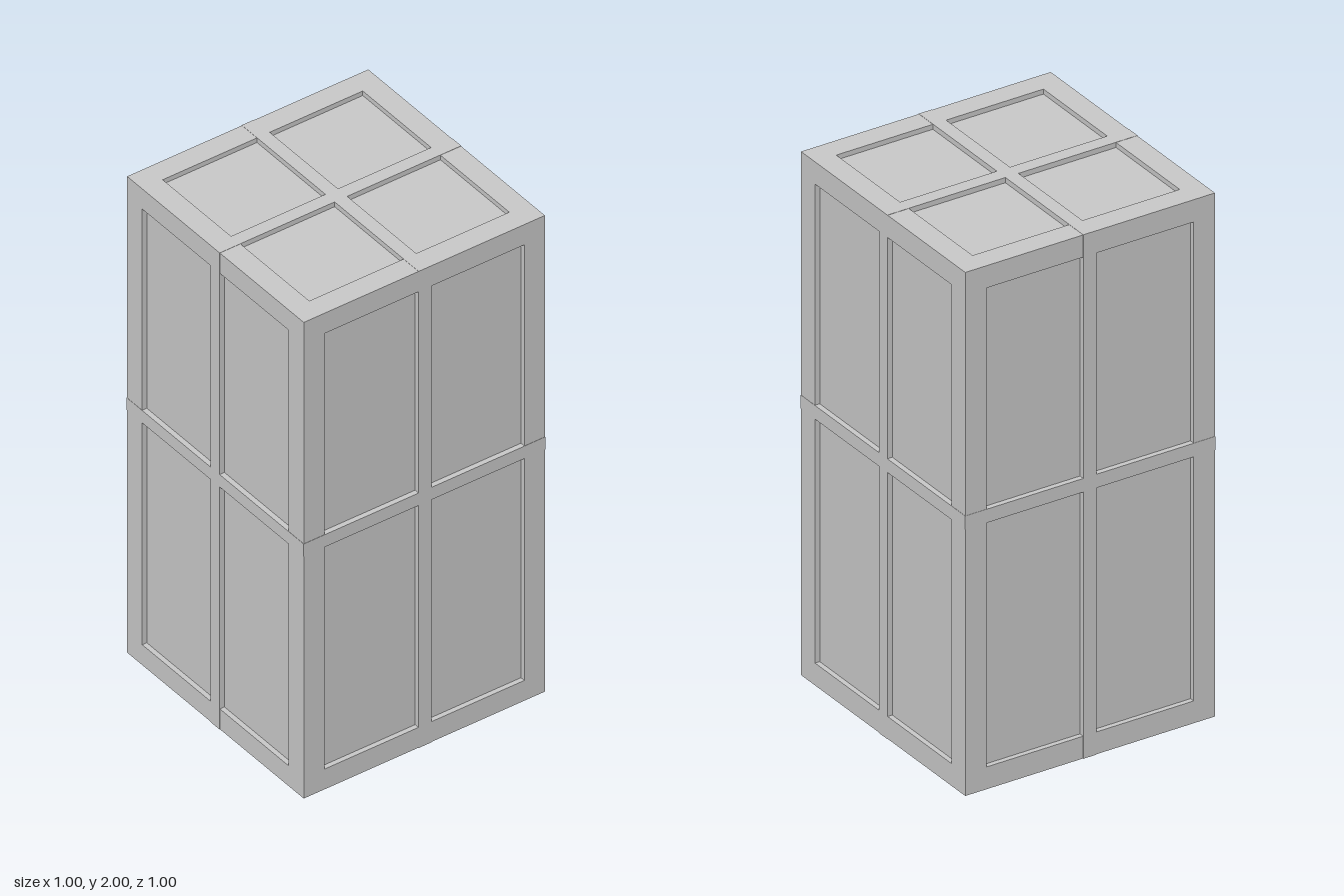
import * as THREE from 'three';

export function createModel() {
  const model = new THREE.Group();
  const material = new THREE.MeshStandardMaterial({ color: 0xcccccc, flatShading: true });
  const W = 1, H = 2;         // overall width/depth and height
  const beam = 0.085;         // frame beam thickness
  const bar = 0.052;          // dividing bar thickness
  const recess = 0.02;        // depth of the sunken panels
  const inset = 0.001;        // the bars stand just proud of the frame

  function box(name, w, h, d, x, y, z) {
    const mesh = new THREE.Mesh(new THREE.BoxGeometry(w, h, d), material);
    mesh.name = name;
    mesh.position.set(x, y, z);
    model.add(mesh);
  }

  // Sunken panels on all six sides
  box('panelCore', W - 2 * recess, H - 2 * recess, W - 2 * recess, 0, H / 2, 0);

  // Outer frame: corner posts with rails fitted between them
  const edge = W / 2 - inset - beam / 2;
  const span = W - 2 * inset - 2 * beam;
  for (const a of [-1, 1]) {
    for (const b of [-1, 1]) {
      box('cornerPost', beam, H - 2 * inset, beam, a * edge, H / 2, b * edge);
      const y = H / 2 + a * (H / 2 - inset - beam / 2);
      box('crossRail', span, beam, beam, 0, y, b * edge);
      box('sideRail', beam, beam, span, b * edge, y, 0);
    }
  }

  // Dividing bars: each slab shows as a band running right round the box
  box('verticalBarFrontBack', bar, H, W, -0.001, H / 2, 0);
  box('verticalBarSides', W, H, bar, 0, H / 2, -0.002);
  box('horizontalBar', W, bar, W, 0, 1.044, 0);

  return model;
}
